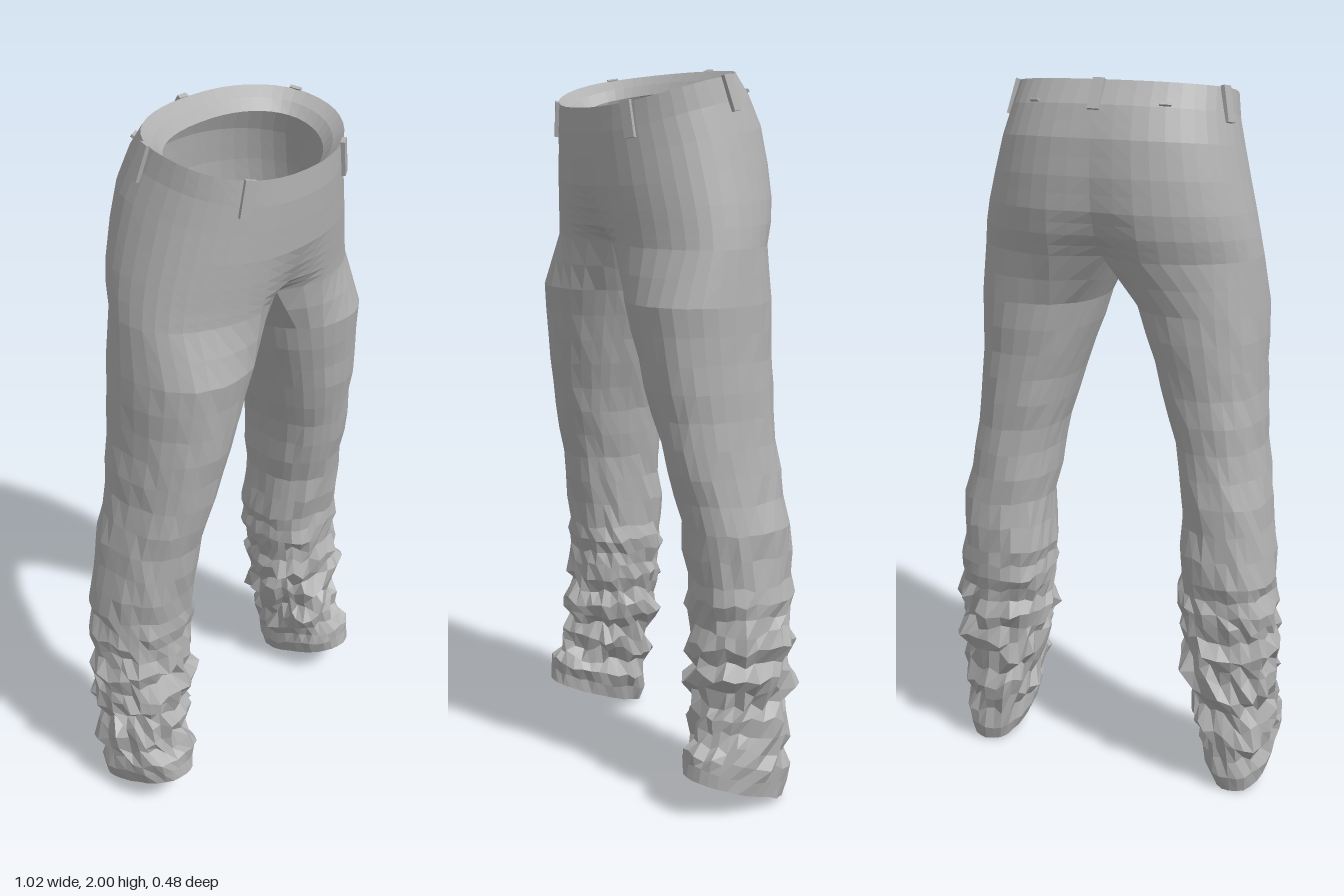
import * as THREE from 'three';

const N = 22, M = 8; // segments round the outside of a half, and along the inner leg
const cloth = new THREE.MeshStandardMaterial({ color: 0xb0b0b0, flatShading: true, side: THREE.DoubleSide });
cloth.name = 'grey cloth';

// height, half width, front z, back z, waist tilt, front pinch, back pinch
const HIPS = [
  [1.975, 0.30, 0.245, -0.15, 1, 0, 0],
  [1.91, 0.31, 0.248, -0.195, 1, 0, 0],
  [1.83, 0.33, 0.245, -0.23, 0.8, 0, 0.03],
  [1.74, 0.352, 0.24, -0.243, 0.6, 0, 0.05],
  [1.66, 0.372, 0.232, -0.245, 0.35, 0.05, 0.08],
  [1.60, 0.385, 0.225, -0.235, 0.2, 0.12, 0.15],
  [1.545, 0.395, 0.22, -0.215, 0, 0.3, 0.3],
];
// height, outer x, inner x, front z, back z, crumple
const LEG = [
  [1.40, 0.408, 0.055, 0.217, -0.172, 0.002],
  [1.20, 0.412, 0.125, 0.192, -0.165, 0.003],
  [1.00, 0.425, 0.185, 0.158, -0.165, 0.004],
  [0.80, 0.462, 0.212, 0.112, -0.182, 0.006],
  [0.62, 0.478, 0.208, 0.09, -0.188, 0.009],
  [0.48, 0.485, 0.222, 0.09, -0.178, 0.018],
  [0.38, 0.492, 0.222, 0.095, -0.178, 0.024],
  [0.29, 0.475, 0.25, 0.088, -0.165, 0.022],
  [0.20, 0.482, 0.275, 0.115, -0.165, 0.022],
  [0.13, 0.488, 0.285, 0.15, -0.165, 0.012],
  [0.06, 0.478, 0.305, 0.155, -0.152, 0.003],
];

const lerp = THREE.MathUtils.lerp;
const spow = (v, e) => Math.sign(v) * Math.abs(v) ** e;
function random(seed) {
  return () => (seed = (seed * 16807) % 2147483647) / 2147483647 * 2 - 1;
}
function sample(table, f) {
  const i = Math.min(Math.floor(f), table.length - 2);
  return table[i].map((v, k) => lerp(v, table[i + 1][k], f - i));
}
function sampleHeight(table, y) {
  let i = 0;
  while (i < table.length - 2 && table[i + 1][0] > y) i++;
  return sample(table, i + (table[i][0] - y) / (table[i][0] - table[i + 1][0]));
}

// Point on the hips: f runs down the table, t from front centre round to back centre
function hipPoint(f, t) {
  const [y, w, zf, zb, tilt, pf, pb] = sample(HIPS, f);
  const a = Math.PI * t, c = (zf + zb) / 2, d = (zf - zb) / 2;
  const x = t === 0 || t === 1 ? 0 : w * Math.sin(a) ** 0.88;
  let z = c + d * spow(Math.cos(a), 0.88);
  z *= 1 - (z > 0 ? pf : pb) * Math.exp(-((x / 0.08) ** 2));
  return new THREE.Vector3(x, y - tilt * (0.16 * z + 0.6 * Math.max(0, z) ** 2), z);
}

// Skin between rows of points; side -1 mirrors it
function skin(name, rows, closed, side, inward = false) {
  const n = rows[0].length, pos = [], idx = [];
  rows.forEach(r => r.forEach(p => pos.push(side * p.x, p.y, p.z)));
  for (let r = 0; r < rows.length - 1; r++) {
    for (let i = 0; i < (closed ? n : n - 1); i++) {
      const a = r * n + i, b = r * n + (i + 1) % n, c = a + n, d = b + n;
      if ((side > 0) !== inward) idx.push(a, c, b, b, c, d);
      else idx.push(a, b, c, b, d, c);
    }
  }
  const g = new THREE.BufferGeometry();
  g.setAttribute('position', new THREE.Float32BufferAttribute(pos, 3));
  g.setIndex(idx);
  g.computeVertexNormals();
  const mesh = new THREE.Mesh(g, cloth);
  mesh.name = name;
  return mesh;
}

function hipRow(f) {
  return Array.from({ length: N + 1 }, (_, i) => hipPoint(f, i / N));
}

function legRow(y, k, rnd, phase) {
  const [, xo, xi, zf, zb, crumple] = sampleHeight(LEG, y);
  const cx = (xo + xi) / 2, cz = (zf + zb) / 2, rx = (xo - xi) / 2, rz = (zf - zb) / 2;
  const tilt = 0.39 * THREE.MathUtils.clamp((0.36 - y) / 0.28, 0, 1);
  const row = [];
  for (let i = 0; i < N + M; i++) {
    const deg = i <= N ? -50 + 280 * i / N : 230 + 80 * (i - N) / M;
    const a = deg * Math.PI / 180;
    // Folds alternate from row to row and drift round the leg
    const fold = Math.sin(k * 2.3 + 2 * Math.sin(a + phase)) * 0.6 + rnd() * 0.7;
    const s = crumple * fold;
    const x = cx + (rx + s) * spow(Math.sin(a), 0.88);
    const z = cz + (rz + s) * spow(Math.cos(a), 0.88);
    row.push(new THREE.Vector3(x, Math.max(0, y + tilt * z + rnd() * crumple * 0.7), z));
  }
  return row;
}

function makeLeg(side) {
  const rnd = random(side > 0 ? 4217 : 9311), phase = side > 0 ? 0.4 : 2.1;
  // Crotch ring: the lowest hip row closed by a seam under the body
  const top = hipRow(HIPS.length - 1);
  const front = top[0], back = top[N];
  for (let j = 1; j < M; j++) {
    const p = back.clone().lerp(front, j / M);
    p.y -= 0.04 * Math.sin(Math.PI * j / M);
    top.push(p);
  }
  const rows = [];
  let k = 0;
  for (let y = 1.40; y > 0.08; y -= y > 0.72 ? 0.075 : 0.042) rows.push(legRow(y, k++, rnd, phase));
  rows.push(legRow(0.06, k, rnd, phase));
  const between = top.map((p, i) => p.clone().lerp(rows[0][i], 0.5));
  return skin(side > 0 ? 'leftLeg' : 'rightLeg', [top, between, ...rows], true, side);
}

// Thin strip of cloth lying on the hips
function patch(name, f, t, side, w, h, depth) {
  const p = hipPoint(f, t);
  const across = hipPoint(f, t + 0.01).sub(hipPoint(f, t - 0.01)).normalize();
  const up = hipPoint(f - 0.1, t).sub(hipPoint(f + 0.1, t)).normalize();
  const out = across.clone().cross(up).normalize();
  [p, across, up, out].forEach(v => { v.x *= side; });
  if (side < 0) across.negate();
  up.crossVectors(out, across);
  const mesh = new THREE.Mesh(new THREE.BoxGeometry(w, h, depth), cloth);
  mesh.quaternion.setFromRotationMatrix(new THREE.Matrix4().makeBasis(across, up, out));
  mesh.position.copy(p).addScaledVector(out, 0.004);
  mesh.name = name;
  return mesh;
}

export function createModel() {
  const group = new THREE.Group();
  group.name = 'trousers';
  for (const side of [1, -1]) {
    const label = side > 0 ? 'left' : 'right';
    // Seat and hips
    const rows = [];
    for (let i = 0; i <= 12; i++) rows.push(hipRow(i / 2));
    group.add(skin(label + 'Hip', rows, false, side));
    // Facing turned in behind the waistband
    const rim = rows[0];
    const inset = (sx, sz, dy) => rim.map(p =>
      new THREE.Vector3(p.x * sx, p.y - dy, 0.045 + (p.z - 0.045) * sz));
    group.add(skin(label + 'WaistFacing', [rim, inset(0.9, 0.87, 0.025), inset(0.83, 0.74, 0.055)], false, side, true));
    group.add(makeLeg(side));
    // Belt loops and back welts
    group.add(patch(label + 'FrontBeltLoop', 0.68, 0.2, side, 0.03, 0.095, 0.012));
    group.add(patch(label + 'SideBeltLoop', 0.68, 0.58, side, 0.03, 0.095, 0.012));
    group.add(patch(label + 'BackWelt', 0.9, 0.82, side, 0.03, 0.008, 0.009));
  }
  // Loop at the middle of the back
  const backLoop = new THREE.Mesh(new THREE.BoxGeometry(0.032, 0.085, 0.012), cloth);
  backLoop.position.set(0, 1.965, -0.18);
  backLoop.rotation.x = 0.54;
  backLoop.name = 'backBeltLoop';
  group.add(backLoop);
  return group;
}
